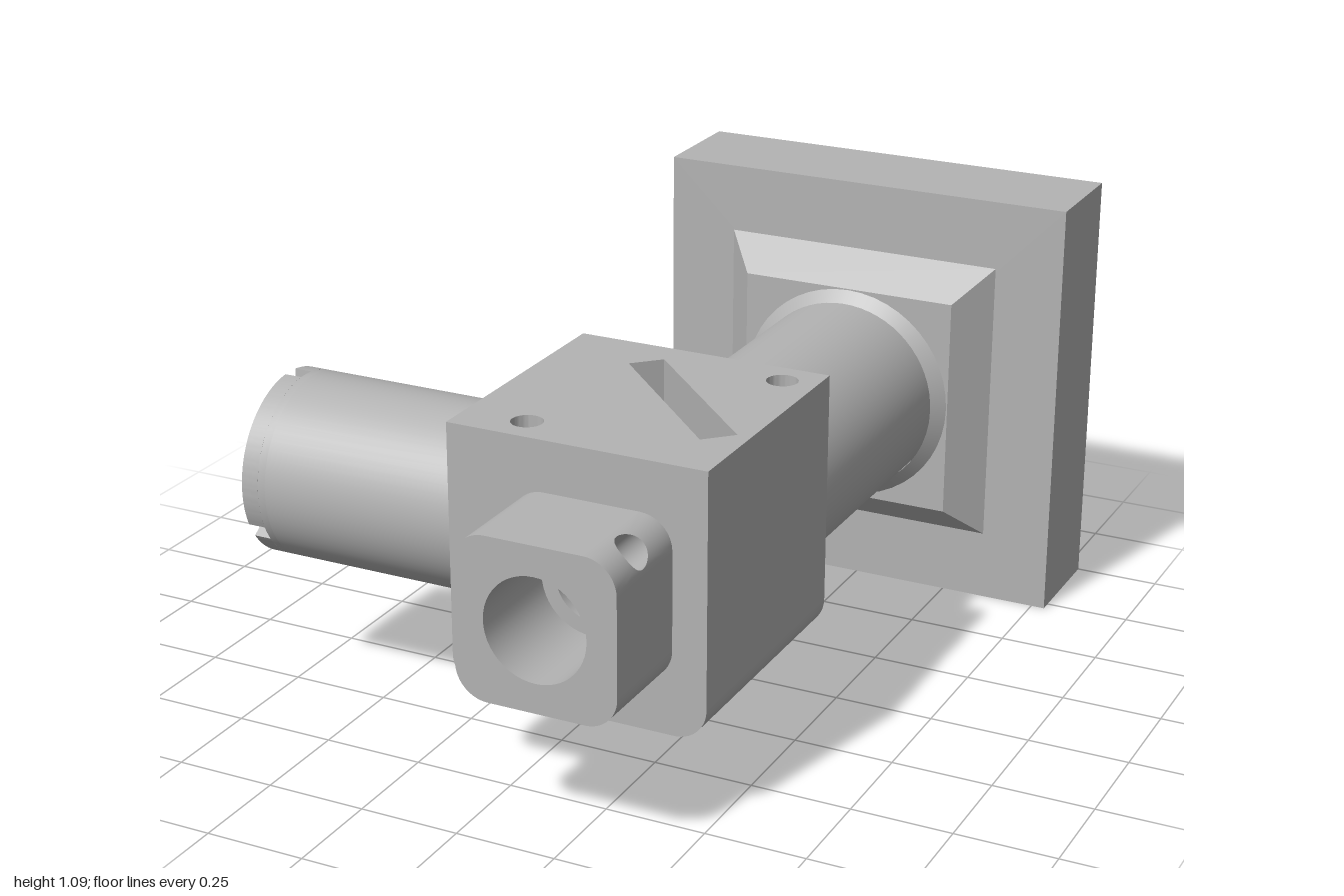
import * as THREE from 'three';
import { toCreasedNormals } from 'three/addons/utils/BufferGeometryUtils.js';

export function createModel() {
  const model = new THREE.Group();
  const grey = new THREE.MeshStandardMaterial({ color: 0xb3b3b3, side: THREE.DoubleSide });
  grey.name = 'machined grey';

  const add = (name, geo, x = 0, y = 0, z = 0, parent = model) => {
    const mesh = new THREE.Mesh(geo, grey);
    mesh.name = name;
    mesh.position.set(x, y, z);
    parent.add(mesh);
    return mesh;
  };
  const circle = (r, x = 0, y = 0) => new THREE.Path().absarc(x, y, r, 0, Math.PI * 2);
  const poly = (pts) => new THREE.Shape(pts.map(([x, y]) => new THREE.Vector2(x, y)));
  const rect = (x0, y0, x1, y1) => poly([[x0, y0], [x1, y0], [x1, y1], [x0, y1]]);
  const square = (h) => rect(-h, -h, h, h);
  const disc = (r) => new THREE.Shape().absarc(0, 0, r, 0, Math.PI * 2);
  const cut = (shape, ...holes) => { shape.holes.push(...holes); return shape; };
  const face = (shape) => new THREE.ShapeGeometry(shape, 24);
  const extrude = (shape, depth) => toCreasedNormals(
    new THREE.ExtrudeGeometry(shape, { depth, bevelEnabled: false, curveSegments: 32 }), 0.6);
  // Open pipe wall, its axis along +z from 0 to length
  const pipe = (r0, r1, length, sides = 48) =>
    new THREE.CylinderGeometry(r1, r0, length, sides, 1, true, Math.PI / 4)
      .rotateX(Math.PI / 2).translate(0, 0, length / 2);

  // Smooth surface from a rule over a grid
  const grid = (rule, nu, nv) => {
    const pos = [], idx = [];
    for (let j = 0; j <= nv; j++) for (let i = 0; i <= nu; i++) pos.push(...rule(i / nu, j / nv));
    for (let j = 0; j < nv; j++) for (let i = 0; i < nu; i++) {
      const a = j * (nu + 1) + i, b = a + nu + 1;
      idx.push(a, a + 1, b + 1, a, b + 1, b);
    }
    const g = new THREE.BufferGeometry();
    g.setAttribute('position', new THREE.Float32BufferAttribute(pos, 3));
    g.setIndex(idx);
    g.computeVertexNormals();
    return g;
  };

  // ---- Rear mounting plate: rim, floor and relieved pocket
  const px = 0.24, py = 0.547;
  const pocket = () => {
    const p = new THREE.Path(), h = 0.195, r = 0.03;
    [[1, 1], [-1, 1], [-1, -1], [1, -1]].forEach(([sx, sy], i) =>
      p.absarc(sx * h, sy * h, r, (i - 1) * Math.PI / 2, (i + 2) * Math.PI / 2, false));
    p.closePath();
    return p;
  };
  add('plateRim', extrude(cut(square(0.545), square(0.495)), 0.235), px, 0.545, -1);
  add('plateFloor', extrude(cut(square(0.545), pocket()), 0.045), px, 0.545, -0.765);
  add('pocketWalls', extrude(cut(square(0.28), pocket()), 0.055), px, 0.545, -0.72);
  add('pocketFloor', extrude(cut(square(0.28), circle(0.185)), 0.033), px, py, -0.665);

  // ---- Square flare, round chamfer and rear tube
  add('squareFlare', toCreasedNormals(
    pipe(0.367 * Math.SQRT2, 0.285 * Math.SQRT2, 0.09, 4), 0.3), px, py, -0.72);
  add('flareFront', face(cut(square(0.285), circle(0.2))), px, py, -0.63);
  add('tubeChamfer', pipe(0.282, 0.25, 0.03), px, py, -0.63);
  add('rearTube', extrude(cut(disc(0.25), circle(0.185)), 0.712), px, 0.55, -0.632);

  // ---- Central block, rounded along its two lower edges
  const x0 = -0.155, x1 = 0.495, y0 = 0.22, yTop = 0.875, yMid = 0.775, z0 = 0.08, z1 = 0.735, r = 0.08;
  const profile = () => {
    const s = new THREE.Shape();
    s.moveTo(x1, yMid);
    s.lineTo(x0, yMid);
    s.absarc(x0 + r, y0 + r, r, Math.PI, Math.PI * 1.5, false);
    s.absarc(x1 - r, y0 + r, r, Math.PI * 1.5, Math.PI * 2, false);
    return s;
  };
  const nx = 0.21, ny = 0.55, tz = 0.405, sx = 0.25, sz = 0.366;
  add('blockFront', face(cut(profile(), circle(0.09, nx, ny))), 0, 0, z1);
  add('blockBack', face(cut(profile(), circle(0.09, nx, ny))), 0, 0, z0);
  add('blockRightSide', face(cut(rect(z0, y0 + r, z1, yMid), circle(0.09, tz, ny))).rotateY(-Math.PI / 2), x0);
  add('blockLeftSide', face(rect(z0, y0 + r, z1, yMid)).rotateY(-Math.PI / 2), x1);
  add('blockBottom', face(cut(rect(x0 + r, z0, x1 - r, z1), circle(0.042, sx, sz))).rotateX(Math.PI / 2), 0, y0);
  for (const [cx, start] of [[x0 + r, Math.PI], [x1 - r, Math.PI * 1.5]]) {
    add('blockLowerEdge', grid((u, v) => {
      const a = start + u * Math.PI / 2;
      return [cx + r * Math.cos(a), y0 + r + r * Math.sin(a), z0 + v * (z1 - z0)];
    }, 10, 1));
  }

  // Top slab with the diagonal slot and two pin holes
  const half = 0.254, w = 0.044, k = Math.SQRT1_2;
  const slot = poly([[-half, -w], [half, -w], [half, w], [-half, w]]
    .map(([a, b]) => [sx + (a - b) * k, sz + (a + b) * k]));
  const pins = [[0.41, 0.16], [0.005, 0.65]];
  const top = cut(rect(x0, z0, x1, z1), slot, ...pins.map(([x, z]) => circle(0.038, x, z)));
  add('blockTop', extrude(top, yTop - yMid).rotateX(Math.PI / 2), 0, yTop, 0);
  for (const [x, z] of pins) {
    add('pinHoleFloor', new THREE.CircleGeometry(0.045, 24).rotateX(-Math.PI / 2), x, yMid + 0.001, z);
  }

  // Deep part of the slot, opened where the bores cross it
  const slotGroup = new THREE.Group();
  slotGroup.name = 'diagonalSlot';
  slotGroup.position.set(sx, 0, sz);
  slotGroup.rotation.y = -Math.PI / 4;
  model.add(slotGroup);
  const slotBase = 0.33;
  for (const s of [-1, 1]) {
    const opening = new THREE.Path();
    opening.absarc(0.13, ny, 0.1, -Math.PI / 2, Math.PI / 2, false);
    opening.absarc(-0.13, ny, 0.1, Math.PI / 2, Math.PI * 1.5, false);
    opening.closePath();
    add('slotWall', face(cut(rect(-half, slotBase, half, yMid), opening)), 0, 0, s * w, slotGroup);
    add('slotEnd', face(rect(-w, slotBase, w, yMid)).rotateY(Math.PI / 2), s * half, 0, 0, slotGroup);
  }
  add('slotFloor', face(cut(rect(-half, -w, half, w), circle(0.042))).rotateX(Math.PI / 2), 0, slotBase, 0, slotGroup);
  add('drainHole', pipe(0.042, 0.042, slotBase - y0, 24).rotateX(-Math.PI / 2), sx, y0, sz);

  // Inner bores
  add('frontBore', pipe(0.09, 0.09, 0.235), nx, ny, 0.5);
  add('backBore', pipe(0.09, 0.09, 0.12), nx, ny, z0);
  add('sideBore', pipe(0.09, 0.09, 0.275).rotateY(Math.PI / 2), x0, ny, tz);

  // ---- Side tube with three end notches
  const along = (shape, length) => extrude(shape, length).rotateY(-Math.PI / 2);
  add('sideTube', along(cut(disc(0.23), circle(0.165)), 0.57), x0, ny, tz);
  add('sideTubeStep', along(cut(disc(0.23), circle(0.185)), 0.02), x0 - 0.57, ny, tz);
  for (let i = 0; i < 3; i++) {
    const a = Math.PI / 2 + i * Math.PI * 2 / 3 + 0.096, b = a + Math.PI * 2 / 3 - 0.192;
    const s = new THREE.Shape();
    s.absarc(0, 0, 0.23, a, b, false);
    s.absarc(0, 0, 0.185, b, a, true);
    s.closePath();
    add('sideTubeTooth', along(s, 0.045), x0 - 0.59, ny, tz);
  }

  // ---- Front nose: rounded square with a bore and a radial hole in one corner
  const c = 0.12, nz = 1;
  const nose = new THREE.Shape();
  for (let i = 0; i < 4; i++) {
    const a = Math.PI / 4 + i * Math.PI / 2;
    nose.absarc(Math.sign(Math.cos(a)) * c, Math.sign(Math.sin(a)) * c, r, i * Math.PI / 2, (i + 1) * Math.PI / 2, false);
  }
  nose.closePath();
  add('noseFront', face(cut(nose, circle(0.127))), nx, ny, nz);
  add('noseBore', pipe(0.127, 0.127, nz - z1), nx, ny, z1);
  for (let i = 0; i < 4; i++) {
    const side = new THREE.Group();
    side.name = 'noseSide';
    side.position.set(nx, ny, 0);
    side.rotation.z = i * Math.PI / 2;
    model.add(side);
    add('noseFlat', face(rect(z1, -c, nz, c)).rotateY(-Math.PI / 2), c + r, 0, 0, side);
    if (i > 0) {
      add('noseCorner', grid((u, v) => {
        const a = u * Math.PI / 2;
        return [c + r * Math.cos(a), c + r * Math.sin(a), z1 + v * (nz - z1)];
      }, 12, 1), 0, 0, 0, side);
    }
  }
  // Corner skin around the hole, then the hole wall
  const hr = 0.045, hz = 0.875, q = Math.PI / 4;
  const rimPoint = (t) => [q + Math.asin(hr * Math.cos(t) / r), hz + hr * Math.sin(t)];
  const onCorner = (a, z) => [c + r * Math.cos(a), c + r * Math.sin(a), z];
  add('noseHoleCorner', grid((u, v) => {
    const t = u * Math.PI * 2, m = Math.max(Math.abs(Math.cos(t)), Math.abs(Math.sin(t)));
    const [a, z] = rimPoint(t);
    const ea = q + q * Math.cos(t) / m, ez = (z1 + nz) / 2 + (nz - z1) / 2 * Math.sin(t) / m;
    return onCorner(a + (ea - a) * v, z + (ez - z) * v);
  }, 48, 8), nx, ny, 0);
  add('noseHoleWall', grid((u, v) => {
    const [x, y, z] = onCorner(...rimPoint(u * Math.PI * 2));
    return [x - 0.085 * v, y - 0.085 * v, z];
  }, 48, 1), nx, ny, 0);

  return model;
}
